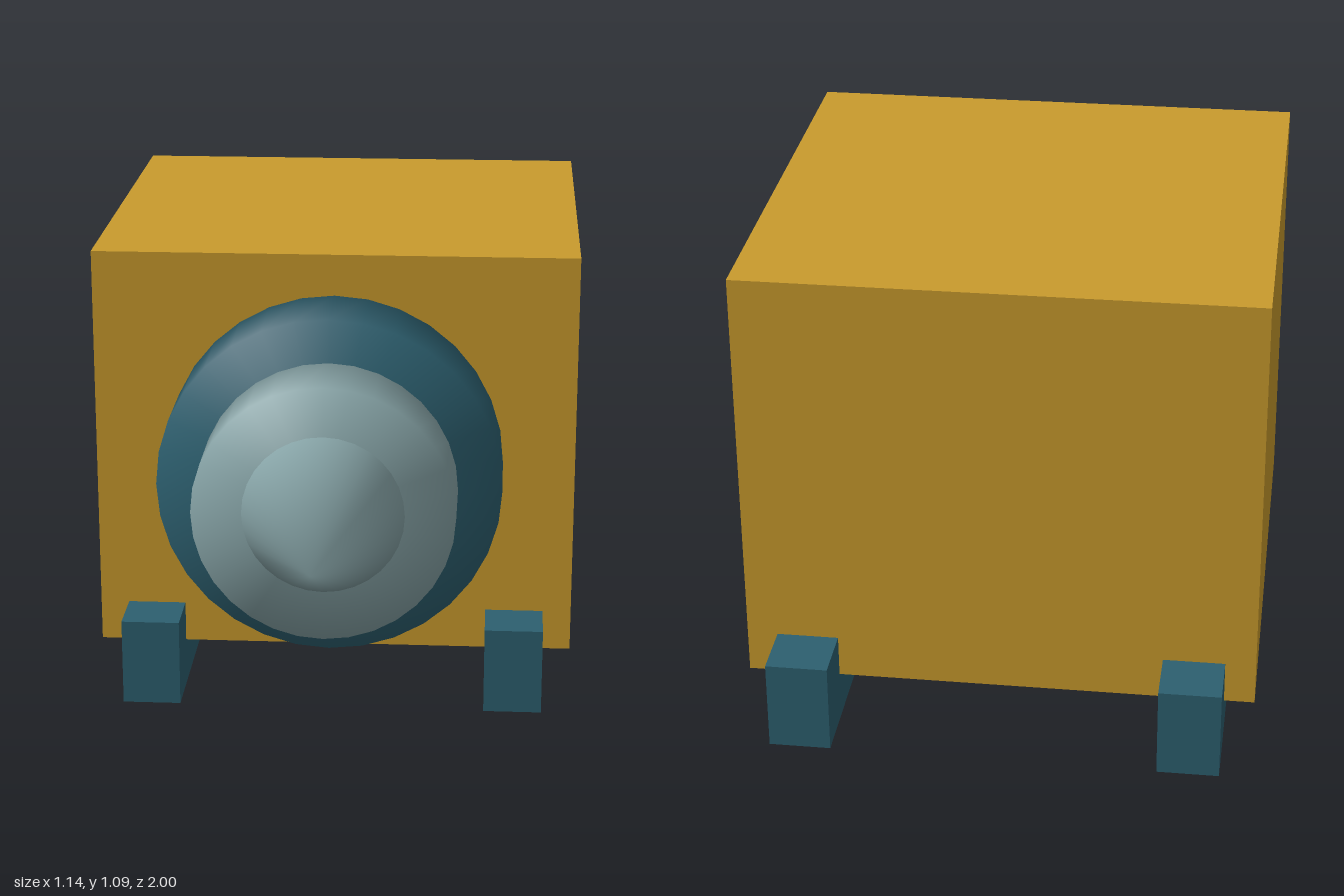
import * as THREE from 'three';
import { mergeVertices } from 'three/addons/utils/BufferGeometryUtils.js';

const material = (name, color) => {
  const m = new THREE.MeshStandardMaterial({ color });
  m.name = name;
  return m;
};

export function createModel() {
  const amber = material('amber', 0xc99b2d);
  const teal = material('teal', 0x2d6070);
  const steel = material('pale steel', 0x87a4a7);
  const group = new THREE.Group();
  const axisY = 0.587;

  const add = (name, geometry, mat, x, y, z) => {
    const mesh = new THREE.Mesh(geometry, mat);
    mesh.name = name;
    mesh.position.set(x, y, z);
    group.add(mesh);
  };

  // Round part along z, with normals shared across its rims
  const round = (name, mat, rBack, rFront, z0, z1) => {
    let g = new THREE.CylinderGeometry(rFront, rBack, z1 - z0, 32);
    g.rotateX(Math.PI / 2);
    g.deleteAttribute('normal');
    g.deleteAttribute('uv');
    g = mergeVertices(g, 1e-4);
    g.computeVertexNormals();
    add(name, g, mat, 0, axisY, (z0 + z1) / 2);
  };

  // Main housing
  add('housing', new THREE.BoxGeometry(1.142, 0.974, 1.09), amber, 0, 0.598, -0.325);

  // Two runners under the housing
  for (const [name, side] of [['leftRunner', 1], ['rightRunner', -1]]) {
    add(name, new THREE.BoxGeometry(0.138, 0.208, 1.353), teal, side * 0.434, 0.104, -0.3235);
  }

  // Stepped nose
  round('collar', teal, 0.4, 0.4, 0.215, 0.432);
  round('chuck', steel, 0.298, 0.298, 0.425, 0.623);
  round('tip', steel, 0.185, 0, 0.62, 1);

  return group;
}
